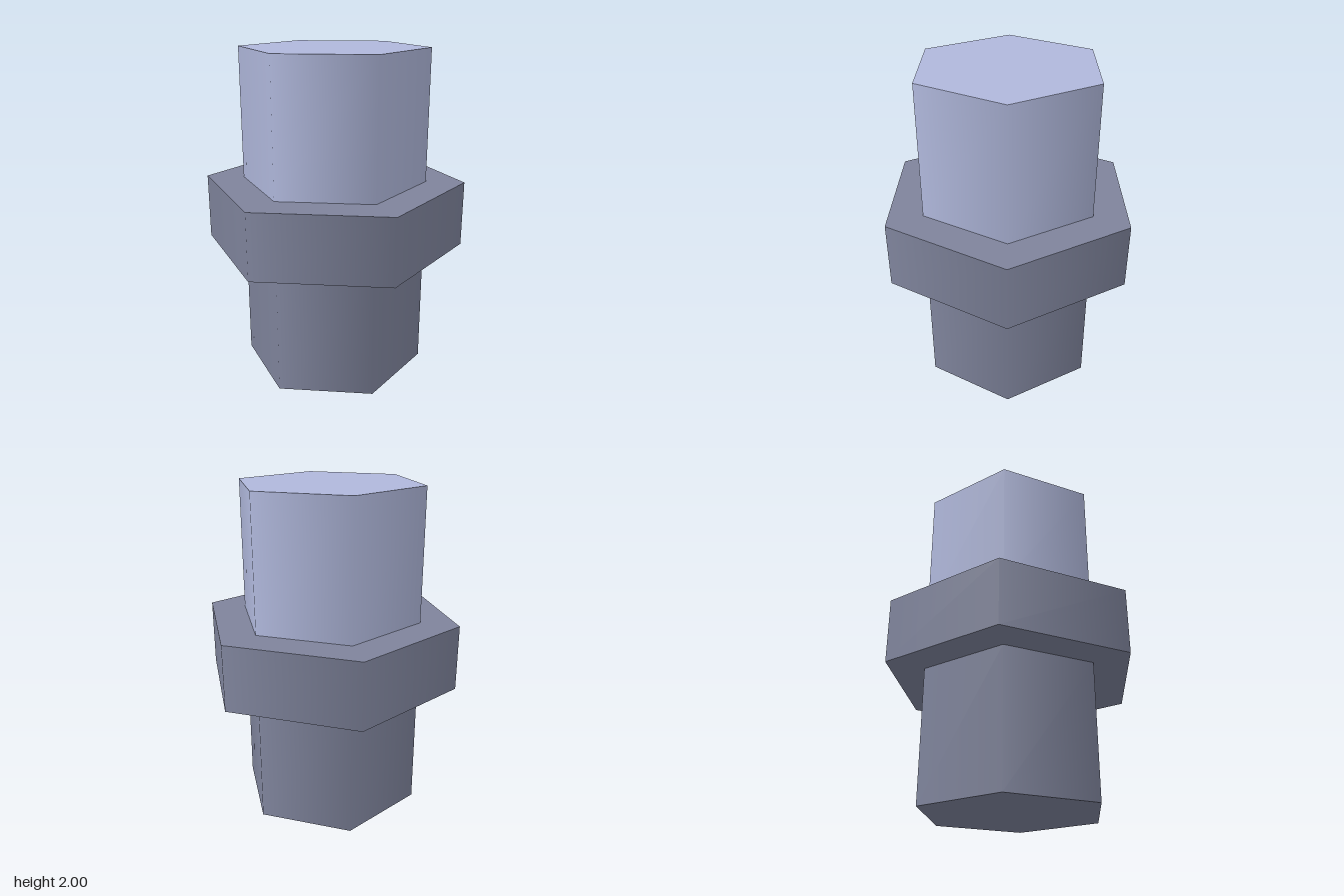
import * as THREE from 'three';

export function createModel() {
  const model = new THREE.Group();
  const light = new THREE.MeshStandardMaterial({ name: 'pale lavender', color: 0xb0b8dc });
  const dark = new THREE.MeshStandardMaterial({ name: 'slate grey', color: 0x7f849c });

  // Six-sided prism with softly shaded sides, standing between two heights
  function hexPrism(name, radius, bottom, top, material) {
    const mesh = new THREE.Mesh(new THREE.CylinderGeometry(radius, radius, top - bottom, 6), material);
    mesh.name = name;
    mesh.position.y = (bottom + top) / 2;
    model.add(mesh);
  }

  hexPrism('lowerShaft', 0.567, 0, 0.8, dark);
  hexPrism('collar', 0.8, 0.8, 1.2, dark);
  hexPrism('upperShaft', 0.567, 1.2, 2, light);

  return model;
}
